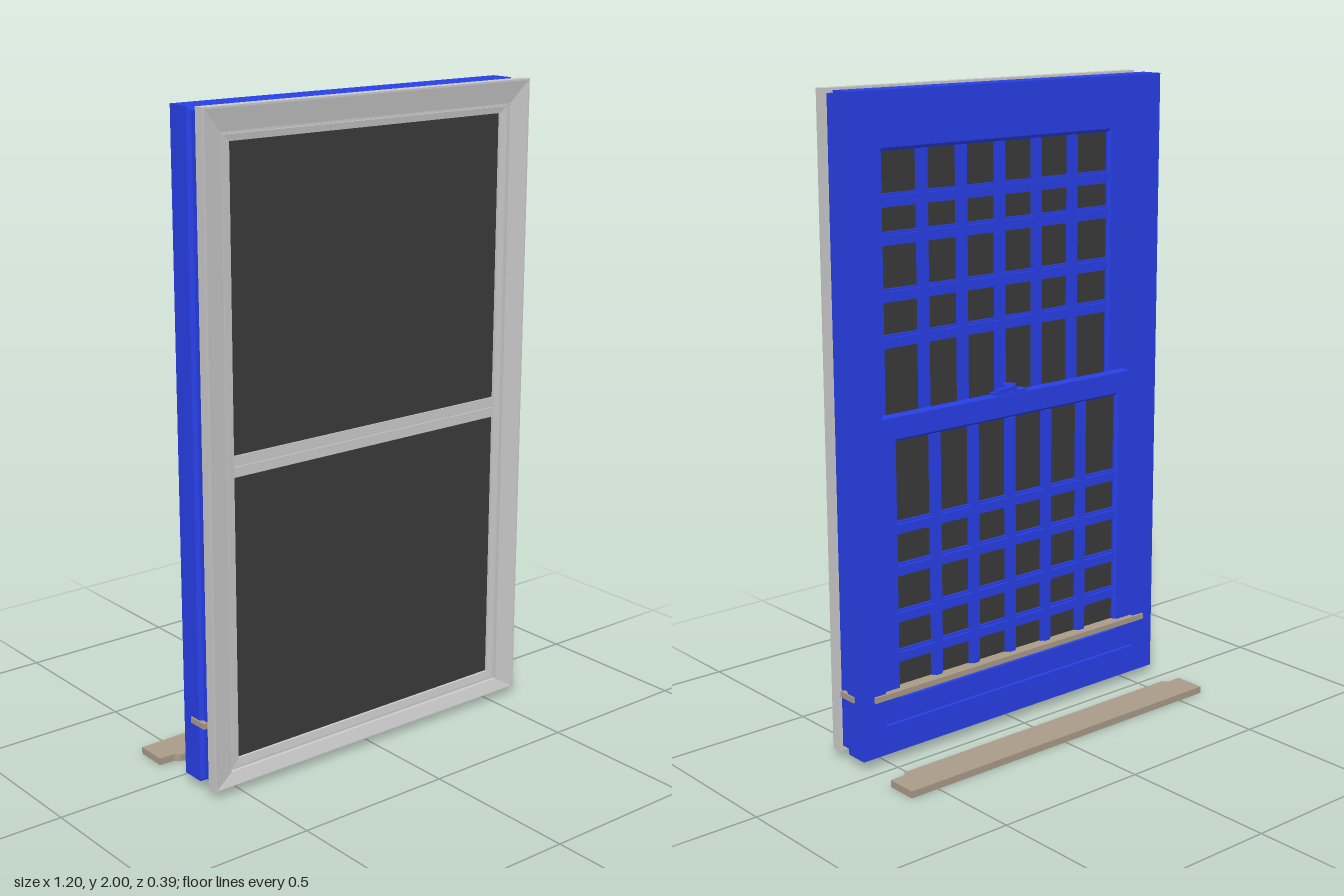
import * as THREE from 'three';

const grey = new THREE.MeshStandardMaterial({ color: 0xcccccc });
const blue = new THREE.MeshStandardMaterial({ color: 0x2840e8 });
const dark = new THREE.MeshStandardMaterial({ color: 0x3a3a3a });
const tan = new THREE.MeshStandardMaterial({ color: 0xaa9c88 });

// Mitred rectangular ring. Rectangles are [x0, y0, x1, y1];
// profile points are [t, z], t = 0 on the outer and 1 on the inner rectangle, anticlockwise.
function ringGeometry(outer, inner, profile) {
  const corners = [[0, 1], [2, 1], [2, 3], [0, 3]];
  const point = (c, i) => {
    const [t, z] = profile[i % profile.length];
    const [a, b] = corners[c % 4];
    return [outer[a] + (inner[a] - outer[a]) * t, outer[b] + (inner[b] - outer[b]) * t, z];
  };
  const pos = [];
  for (let c = 0; c < 4; c++) {
    for (let i = 0; i < profile.length; i++) {
      const p = point(c, i), q = point(c, i + 1), r = point(c + 1, i + 1), s = point(c + 1, i);
      pos.push(...p, ...q, ...r, ...p, ...r, ...s);
    }
  }
  const g = new THREE.BufferGeometry();
  g.setAttribute('position', new THREE.Float32BufferAttribute(pos, 3));
  g.computeVertexNormals();
  return g;
}

function add(parent, name, geometry, material) {
  const m = new THREE.Mesh(geometry, material);
  m.name = name;
  parent.add(m);
  return m;
}

// Box given by its limits
function box(parent, name, material, x0, x1, y0, y1, z0, z1) {
  const m = add(parent, name, new THREE.BoxGeometry(x1 - x0, y1 - y0, z1 - z0), material);
  m.position.set((x0 + x1) / 2, (y0 + y1) / 2, (z0 + z1) / 2);
  return m;
}

// Sash with a moulded frame, dark glazing and a 6 x 5 grid of stepped bars
function makeSash(name, y0, y1, glassY0, glassY1, zBack, barYs) {
  const sash = new THREE.Group();
  sash.name = name;
  const gx = 0.44, z = zBack, zf = zBack + 0.04;
  add(sash, 'sashFrame', ringGeometry([-0.51, y0, 0.51, y1], [-gx, glassY0, gx, glassY1],
    [[0, z], [0.88, z], [0.88, z + 0.006], [1, z + 0.012], [1, zf], [0, zf]]), blue);
  box(sash, 'glass', dark, -gx, gx, glassY0, glassY1, z + 0.02, z + 0.03);
  const steps = [[0.02, 0.012], [0.012, 0.005]];
  for (const [half, depth] of steps) {
    for (let i = 1; i < 6; i++) {
      const x = -gx + (2 * gx * i) / 6;
      box(sash, 'verticalBar', blue, x - half, x + half, glassY0, glassY1, z + depth, z + 0.022);
    }
    for (const y of barYs) {
      box(sash, 'horizontalBar', blue, -gx, gx, y - half, y + half, z + depth + 0.001, z + 0.022);
    }
  }
  return sash;
}

// Flat board cut to a mirrored plan outline of [x, z] points (right half, back to front)
function makeBoard(name, half, y, thick) {
  const pts = [...half, ...half.map(([x, z]) => [-x, z]).reverse()];
  const shape = new THREE.Shape(pts.map(([x, z]) => new THREE.Vector2(x, -z)));
  const g = new THREE.ExtrudeGeometry(shape, {
    depth: thick, bevelEnabled: false,
  });
  g.rotateX(-Math.PI / 2);
  g.translate(0, y, 0);
  const m = new THREE.Mesh(g, tan);
  m.name = name;
  return m;
}

export function createModel() {
  const model = new THREE.Group();
  model.name = 'window';

  // Outside casing, sloping gently inwards
  add(model, 'casing', ringGeometry([-0.597, 0.025, 0.597, 2], [-0.53, 0.065, 0.53, 1.93],
    [[0, 0.16], [1, 0.16], [1, 0.182], [0.08, 0.194], [0, 0.194]]), grey);

  // Screen frame, dark panels and middle rail
  add(model, 'screenFrame', ringGeometry([-0.53, 0.065, 0.53, 1.93], [-0.498, 0.098, 0.498, 1.902],
    [[0, 0.15], [1, 0.15], [1, 0.174], [0.3, 0.177], [0.3, 0.171], [0, 0.171]]), grey);
  box(model, 'lowerScreen', dark, -0.5, 0.5, 0.095, 0.965, 0.152, 0.166);
  box(model, 'upperScreen', dark, -0.5, 0.5, 1.015, 1.905, 0.152, 0.166);
  box(model, 'middleRail', grey, -0.5, 0.5, 0.96, 0.99, 0.15, 0.174);
  box(model, 'middleRail', grey, -0.5, 0.5, 0.99, 1.022, 0.15, 0.17);

  // Jamb frame with a rebate behind the casing
  add(model, 'jambFrame', ringGeometry([-0.595, 0.03, 0.595, 1.997], [-0.51, 0.12, 0.51, 1.907],
    [[0, 0.04], [1, 0.04], [1, 0.16], [0.12, 0.16], [0.12, 0.125], [0, 0.115]]), blue);
  for (const s of [-1, 1]) {
    for (const z of [0.054, 0.076]) {
      const bead = box(model, 'jambBead', blue, -0.008, 0.008, 1.06, 1.907, z, z + 0.012);
      bead.position.x = s * 0.502;
    }
  }

  // Sashes
  model.add(makeSash('lowerSash', 0.12, 1.06, 0.2, 0.985, 0.052, [0.32, 0.445, 0.59, 0.72]));
  model.add(makeSash('upperSash', 0.97, 1.907, 1.03, 1.82, 0.098, [1.27, 1.405, 1.57, 1.68]));

  // Sash lock on the meeting rail
  const lock = new THREE.Group();
  lock.name = 'sashLock';
  box(lock, 'lockPlate', blue, -0.06, 0.06, 1.06, 1.068, 0.056, 0.09);
  const drum = add(lock, 'lockDrum', new THREE.CylinderGeometry(0.02, 0.022, 0.022, 20), blue);
  drum.position.set(0, 1.077, 0.07);
  const lever = box(lock, 'lockLever', blue, -0.01, 0.07, 1.072, 1.084, 0.044, 0.058);
  lever.rotation.y = 0.15;
  model.add(lock);

  // Stool running through the jambs, and the loose apron board behind
  model.add(makeBoard('stool', [[0.55, 0.032], [0.56, 0.08], [0.6, 0.08], [0.6, 0.145]], 0.207, 0.018));
  model.add(makeBoard('looseBoard',
    [[0.597, -0.194], [0.597, -0.094], [0.548, -0.094], [0.534, -0.078]], 0, 0.022));
  return model;
}
